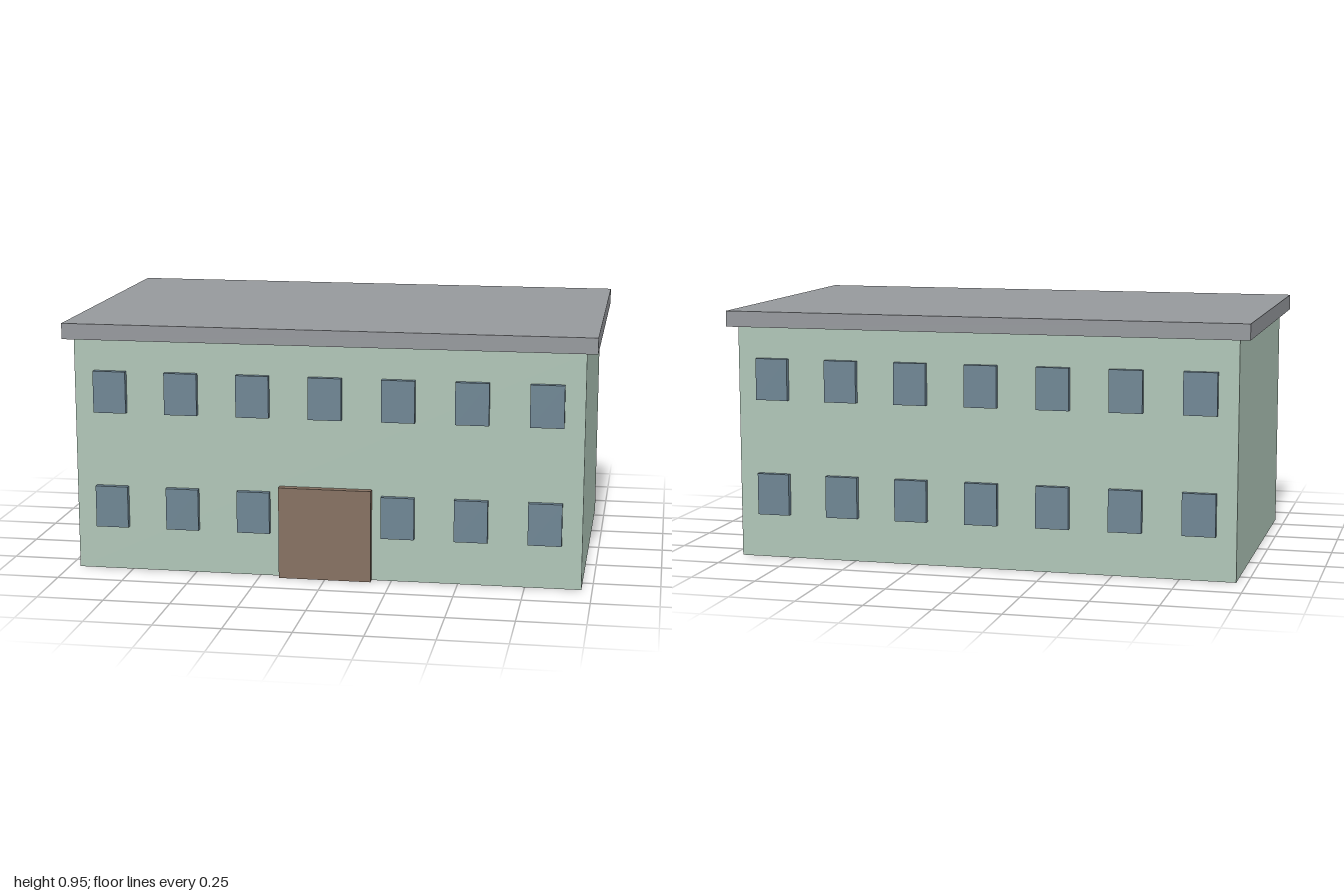
import * as THREE from 'three';

const mat = (name, color) => {
  const m = new THREE.MeshStandardMaterial({ color });
  m.name = name;
  return m;
};

export function createModel() {
  const group = new THREE.Group();
  group.name = 'building';
  const wall = mat('pale green wall', 0xafc5b7);
  const slate = mat('grey roof', 0x95989c);
  const glass = mat('blue grey glass', 0x6e8593);
  const wood = mat('brown door', 0x857061);

  // Box given by its centre in x and z and its base height
  const box = (name, w, h, d, x, y, z, material) => {
    const mesh = new THREE.Mesh(new THREE.BoxGeometry(w, h, d), material);
    mesh.name = name;
    mesh.position.set(x, y + h / 2, z);
    group.add(mesh);
  };

  const midZ = -0.003, depth = 1.186;

  // Main block and overhanging flat roof
  box('walls', 1.92, 0.89, depth, 0, 0, midZ, wall);
  box('roof', 2, 0.06, depth * 1.04, 0, 0.89, midZ, slate);

  // Entrance door
  const doorDepth = 0.03;
  box('door', 0.35, 0.35, doorDepth, 0, 0, 0.62 - doorDepth / 2, wood);

  // Two rows of seven windows on front and back; the door takes one place
  const windowDepth = 0.022;
  for (const side of [1, -1]) {
    const z = midZ + side * (depth / 2 + windowDepth / 2);
    [0.168, 0.612].forEach((y, row) => {
      for (let i = -3; i <= 3; i++) {
        if (side === 1 && row === 0 && i === 0) continue;
        box(side === 1 ? 'frontWindow' : 'backWindow', 0.125, 0.159, windowDepth, i * 0.274, y, z, glass);
      }
    });
  }
  return group;
}
